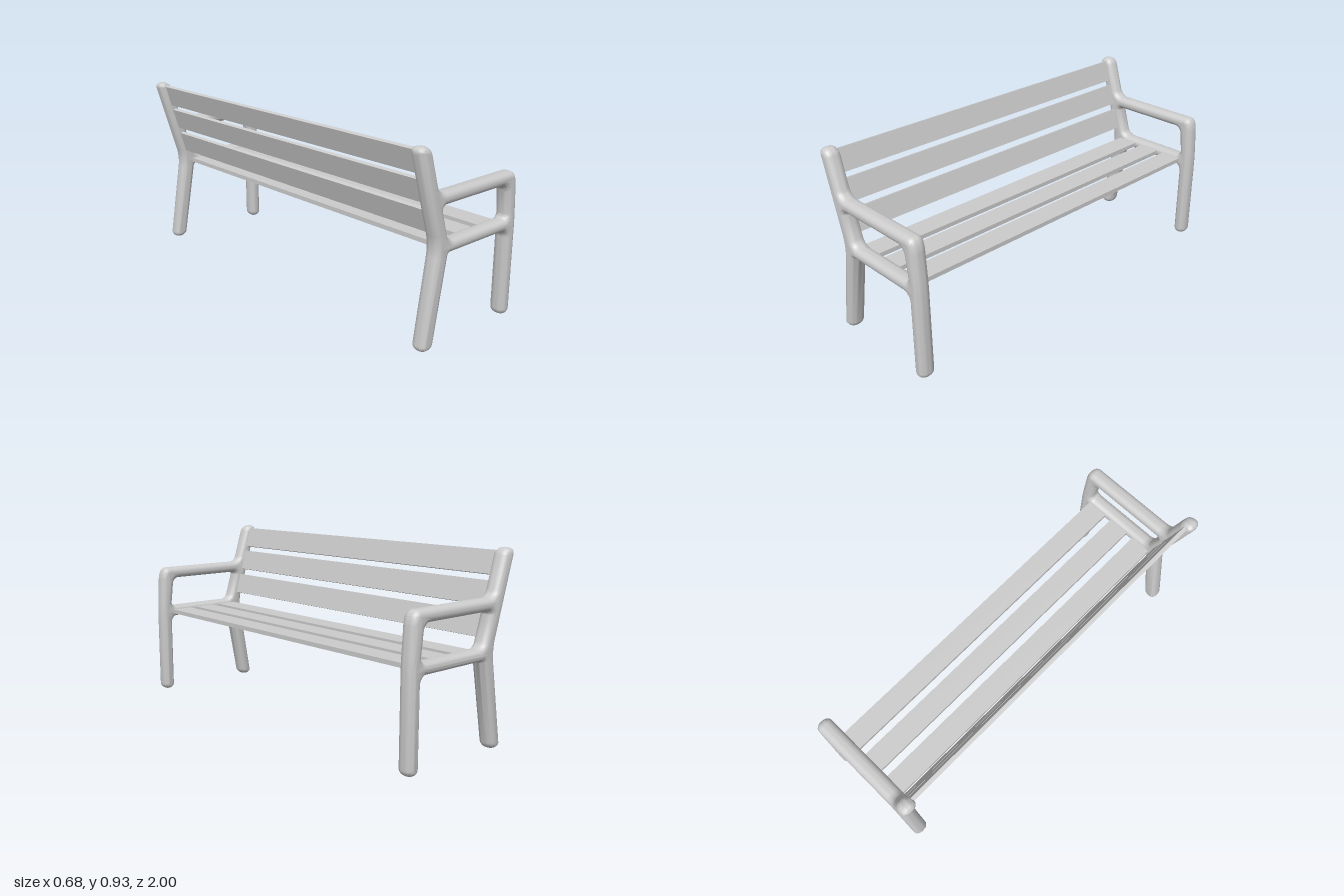
import * as THREE from 'three';
import { toCreasedNormals } from 'three/addons/utils/BufferGeometryUtils.js';

const material = new THREE.MeshStandardMaterial({ color: 0xcccccc });

// Closed outline from corners [x, y, cut], each corner rounded over the cut length
function roundedPath(corners, path) {
  const K = 0.55;
  const n = corners.length;
  corners.forEach(([x, y, r], i) => {
    const p = new THREE.Vector2(x, y);
    const toward = ([qx, qy]) => new THREE.Vector2(qx - x, qy - y).normalize();
    const a = toward(corners[(i + n - 1) % n]);
    const b = toward(corners[(i + 1) % n]);
    const at = (dir, d) => p.clone().addScaledVector(dir, d);
    const start = at(a, r), c1 = at(a, r * (1 - K)), c2 = at(b, r * (1 - K)), end = at(b, r);
    if (i === 0) path.moveTo(start.x, start.y);
    else path.lineTo(start.x, start.y);
    path.bezierCurveTo(c1.x, c1.y, c2.x, c2.y, end.x, end.y);
  });
  path.closePath();
  return path;
}

// Side frame: legs, seat rail, armrest and back post in one rounded piece
function sideFrameGeometry() {
  const outline = roundedPath([
    [-0.293, 0.0, 0.032], [-0.218, 0.0, 0.032],
    [-0.138, 0.43, 0.008], [0.272, 0.43, 0.034],
    [0.272, 0.0, 0.032], [0.341, 0.0, 0.032],
    [0.341, 0.48, 0.04], [0.329, 0.67, 0.02], [0.311, 0.715, 0.024],
    [-0.209, 0.715, 0.036],
    [-0.275, 0.932, 0.034], [-0.35, 0.932, 0.034],
    [-0.213, 0.475, 0.05],
  ], new THREE.Shape());
  outline.holes.push(roundedPath([
    [-0.187, 0.653, 0.02], [0.253, 0.653, 0.032],
    [0.272, 0.49, 0.024], [-0.137, 0.49, 0.032],
  ], new THREE.Path()));

  const geometry = new THREE.ExtrudeGeometry(outline, {
    depth: 0.01, curveSegments: 6,
    bevelThickness: 0.035, bevelSize: 0.027, bevelOffset: -0.027, bevelSegments: 6,
  });
  geometry.translate(0, 0, -0.005);
  return toCreasedNormals(geometry, 0.7);
}

export function createModel() {
  const bench = new THREE.Group();
  bench.name = 'bench';

  const add = (name, geometry, x, y, z, tilt = 0) => {
    const mesh = new THREE.Mesh(geometry, material);
    mesh.name = name;
    mesh.position.set(x, y, z);
    mesh.rotation.z = tilt;
    bench.add(mesh);
  };

  // Frames at both ends
  const frame = sideFrameGeometry();
  add('leftSideFrame', frame, 0, 0, -0.96);
  add('rightSideFrame', frame, 0, 0, 0.96);

  // Seat slats
  const seatSlat = new THREE.BoxGeometry(0.116, 0.022, 1.86);
  [-0.102, 0.057, 0.214].forEach((x, i) => add(`seatSlat${i + 1}`, seatSlat, x, 0.46, 0));

  // Back slats, leaning with the back posts
  const backSlat = new THREE.BoxGeometry(0.02, 0.113, 1.86);
  [[-0.208, 0.582], [-0.249, 0.724], [-0.289, 0.86]].forEach(([x, y], i) =>
    add(`backSlat${i + 1}`, backSlat, x, y, 0, 0.295));

  return bench;
}
